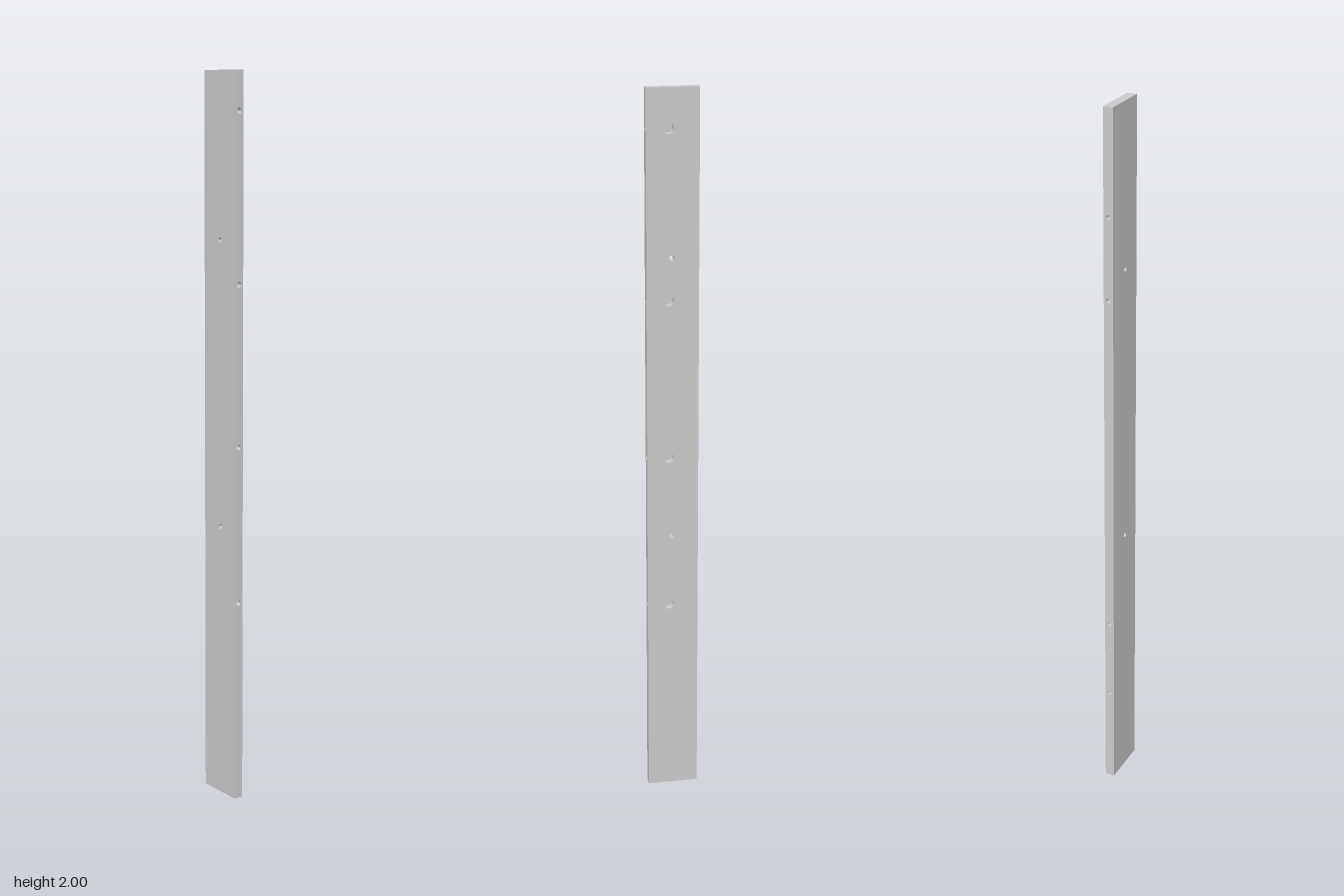
import * as THREE from 'three';

const W = 0.027, H = 2, D = 0.141;
const SEG = 32;
const CAM = { r: 0.0145, depth: 0.022, z: 0.012, heights: [0.565, 1.0, 1.44, 1.895] };
const PIN = { r: 0.007, z: 0.003, heights: [0.77, 1.555] };
const BOLT = { r: 0.0075 };
const DOWEL = { r: 0.0065, depth: 0.045, heights: [0.285, 0.515, 1.49, 1.715] };

const solid = new THREE.MeshStandardMaterial({ color: 0xcccccc });
const lining = new THREE.MeshStandardMaterial({ color: 0xcccccc, side: THREE.DoubleSide });

// Flat panel face in local xy, standing on y = 0, with round holes [x, y, r]
function faceWithHoles(name, width, holes, turn, x, z) {
  const shape = new THREE.Shape([
    new THREE.Vector2(-width / 2, 0), new THREE.Vector2(width / 2, 0),
    new THREE.Vector2(width / 2, H), new THREE.Vector2(-width / 2, H),
  ]);
  for (const [hx, hy, r] of holes) {
    shape.holes.push(new THREE.Path().absarc(hx, hy, r, 0, Math.PI * 2, true));
  }
  const mesh = new THREE.Mesh(new THREE.ShapeGeometry(shape, SEG / 2), solid);
  mesh.name = name;
  mesh.rotation.y = turn;
  mesh.position.set(x, 0, z);
  return mesh;
}

// Hole lining running inward (local -z) from its mouth, with an optional floor
function bore(name, r, depth, turn, x, y, z, floor) {
  const group = new THREE.Group();
  group.name = name;
  const wall = new THREE.CylinderGeometry(r, r, depth, SEG, 1, true);
  wall.rotateX(Math.PI / 2).translate(0, 0, -depth / 2);
  group.add(new THREE.Mesh(wall, lining));
  if (floor) {
    const disc = new THREE.Mesh(new THREE.CircleGeometry(r, SEG), lining);
    disc.position.z = -depth;
    group.add(disc);
  }
  group.rotation.y = turn;
  group.position.set(x, y, z);
  return group;
}

export function createModel() {
  const model = new THREE.Group();
  model.name = 'drilledBoard';
  const q = Math.PI / 2;

  // Broad sides: blind fitting holes on the left only, pin holes right through
  const pins = (s) => PIN.heights.map((y) => [s * PIN.z, y, PIN.r]);
  const cams = CAM.heights.map((y) => [-CAM.z, y, CAM.r]);
  model.add(faceWithHoles('leftFace', D, [...cams, ...pins(-1)], q, W / 2, 0));
  model.add(faceWithHoles('rightFace', D, pins(1), -q, -W / 2, 0));

  // Narrow edges
  const bolts = CAM.heights.map((y) => [0, y, BOLT.r]);
  const dowels = DOWEL.heights.map((y) => [0, y, DOWEL.r]);
  model.add(faceWithHoles('frontEdge', W, bolts, 0, 0, D / 2));
  model.add(faceWithHoles('backEdge', W, dowels, Math.PI, 0, -D / 2));

  // Ends
  for (const [name, y, tilt] of [['topEnd', H, -q], ['bottomEnd', 0, q]]) {
    const end = new THREE.Mesh(new THREE.PlaneGeometry(W, D), solid);
    end.name = name;
    end.rotation.x = tilt;
    end.position.y = y;
    model.add(end);
  }

  // Fitting holes, each met by a bolt hole from the front edge
  const boltDepth = D / 2 - CAM.z - CAM.r;
  for (const y of CAM.heights) {
    model.add(bore('fittingHole', CAM.r, CAM.depth, q, W / 2, y, CAM.z, true));
    const bolt = bore('boltHole', BOLT.r, boltDepth, 0, 0, y, D / 2, false);
    // Fit the inner rim to the round wall of the fitting hole
    const p = bolt.children[0].geometry.attributes.position;
    for (let i = 0; i < p.count; i++) {
      if (p.getZ(i) < -boltDepth / 2) {
        p.setZ(i, CAM.z + Math.sqrt(CAM.r ** 2 - p.getY(i) ** 2) - D / 2);
      }
    }
    model.add(bolt);
  }

  // Pin holes and dowel holes
  for (const y of PIN.heights) {
    model.add(bore('pinHole', PIN.r, W, q, W / 2, y, PIN.z, false));
  }
  for (const y of DOWEL.heights) {
    model.add(bore('dowelHole', DOWEL.r, DOWEL.depth, Math.PI, 0, y, -D / 2, true));
  }
  return model;
}
